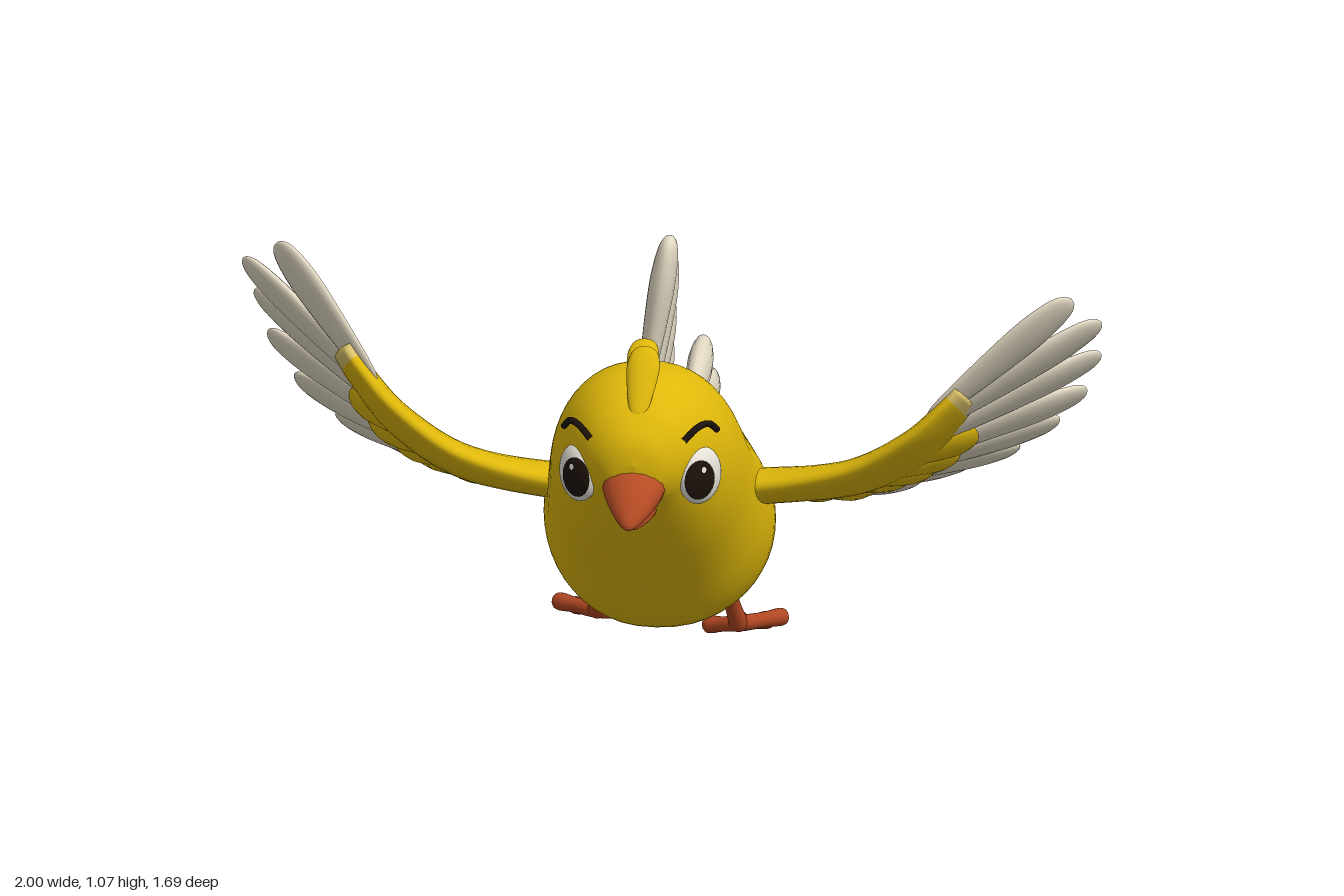
import * as THREE from 'three';

const mat = (name, color) => Object.assign(new THREE.MeshStandardMaterial({ color }), { name });
const V = (a) => new THREE.Vector3(...a);

export function createModel() {
  const yellow = mat('yellow plumage', 0xdfb80a);
  const cream = mat('cream feathers', 0xe3dac4);
  const pale = mat('pale yellow', 0xdcc46c);
  const orange = mat('beak orange', 0xbd4f26);
  const rust = mat('foot rust', 0xb04722);
  const white = mat('eye white', 0xe6e2d8);
  const dark = mat('dark brown', 0x1c120b);

  const root = new THREE.Group();
  root.name = 'bird';
  const add = (parent, name, geo, material) => {
    const m = new THREE.Mesh(geo, material);
    m.name = name;
    parent.add(m);
    return m;
  };
  const group = (name, parent = root) => {
    const g = new THREE.Group();
    g.name = name;
    parent.add(g);
    return g;
  };

  // Skin over closed rings; pick(i, j) gives the material slot of each face
  function loft(rings, pick, slots) {
    const n = rings[0].length, lists = Array.from({ length: slots }, () => []);
    for (let i = 0; i < rings.length - 1; i++) {
      for (let j = 0; j < n; j++) {
        const k = (j + 1) % n, a = i * n + j, b = i * n + k;
        lists[pick(i, j)].push(a, a + n, b, b, a + n, b + n);
      }
    }
    const geo = new THREE.BufferGeometry().setFromPoints(rings.flat());
    geo.setIndex(lists.flat());
    let start = 0;
    lists.forEach((l, s) => { geo.addGroup(start, l.length, s); start += l.length; });
    geo.computeVertexNormals();
    return geo;
  }

  // Round-ended blade or limb between two points
  const outlines = {
    feather: [[0, 0], [0.45, 0.04], [0.72, 0.25], [0.95, 0.55], [1, 0.75], [0.8, 0.91], [0.45, 0.98], [0, 1]],
    limb: [[0, 0], [0.7, 0.03], [0.9, 0.12], [0.85, 0.5], [1, 0.82], [0.8, 0.95], [0, 1]],
    beak: [[0, 0], [0.95, 0.02], [1, 0.15], [0.82, 0.45], [0.5, 0.75], [0.2, 0.95], [0, 1]],
  };
  function blade(parent, name, material, from, to, wide, thick, side, outline = 'feather') {
    const pts = new THREE.SplineCurve(outlines[outline].map((p) => new THREE.Vector2(...p))).getPoints(18);
    pts.forEach((p) => { p.x = Math.max(p.x, 0); });
    const dir = to.clone().sub(from), y = dir.clone().normalize();
    const x = side.clone().addScaledVector(y, -side.dot(y)).normalize();
    const z = new THREE.Vector3().crossVectors(x, y);
    const m = new THREE.Matrix4().makeBasis(x.multiplyScalar(wide), dir, z.multiplyScalar(thick)).setPosition(from);
    return add(parent, name, new THREE.LatheGeometry(pts, 16).applyMatrix4(m), material);
  }

  // Body: stations of z, top, bottom, half width
  const stations = [
    [0.79, 0.6, 0.6, 0], [0.78, 0.65, 0.54, 0.055], [0.755, 0.69, 0.505, 0.095], [0.72, 0.725, 0.475, 0.13],
    [0.66, 0.76, 0.4, 0.172], [0.58, 0.78, 0.31, 0.212], [0.48, 0.77, 0.205, 0.232], [0.38, 0.7, 0.11, 0.248],
    [0.27, 0.61, 0.08, 0.268], [0.15, 0.54, 0.085, 0.255], [0.05, 0.495, 0.14, 0.223], [0, 0.475, 0.175, 0.204],
    [-0.1, 0.453, 0.235, 0.165], [-0.2, 0.445, 0.295, 0.124], [-0.3, 0.45, 0.36, 0.08], [-0.37, 0.457, 0.42, 0.045],
    [-0.39, 0.452, 0.445, 0],
  ];
  const heights = new THREE.CatmullRomCurve3(stations.map((s) => V([s[1], s[2], s[0]])), false, 'catmullrom');
  const widths = new THREE.CatmullRomCurve3(stations.map((s) => V([s[3], 0, s[0]])), false, 'catmullrom');
  const N = 48, R = 80, angle = (j) => (j / N) * Math.PI * 2;
  const bodyRings = [];
  for (let i = 0; i <= R; i++) {
    const h = heights.getPoint(i / R), w = Math.max(widths.getPoint(i / R).x, 0);
    const cx = -0.02 - 0.03 * (h.z + 0.4) / 1.2, cy = (h.x + h.y) / 2, r = (h.x - h.y) / 2;
    bodyRings.push(Array.from({ length: N }, (_, j) => {
      const c = Math.cos(angle(j));
      return V([cx + w * Math.sign(c) * Math.abs(c) ** 0.87, cy + r * Math.sin(angle(j)), h.z]);
    }));
  }
  const bodyGeo = loft(bodyRings, (i, j) => {
    const z = bodyRings[i][0].z, s = Math.sin(angle(j + 0.5));
    if (z <= 0.005 && s < -0.17) return 1; // cream vent
    return z > 0.06 && z < 0.31 && s < -0.87 ? 2 : 0; // pale belly
  }, 3);
  add(root, 'body', bodyGeo, [yellow, cream, pale]);

  // Wings
  const lead = [[0.08, 0.455, 0.41], [0.22, 0.46, 0.425], [0.42, 0.515, 0.47], [0.56, 0.605, 0.51], [0.64, 0.68, 0.515], [0.685, 0.73, 0.505]];
  const trail = [[0.08, 0.4, 0.19], [0.24, 0.405, 0.2], [0.42, 0.41, 0.2], [0.56, 0.47, 0.22], [0.65, 0.565, 0.25], [0.7, 0.665, 0.34]];
  const bases = [[0.61, 0.645, 0.47], [0.59, 0.6, 0.43], [0.57, 0.555, 0.39], [0.545, 0.515, 0.36], [0.51, 0.475, 0.33],
    [0.47, 0.45, 0.31], [0.42, 0.43, 0.3], [0.36, 0.415, 0.29], [0.29, 0.41, 0.28], [0.23, 0.405, 0.27]];
  const leftTips = [[0.94, 0.94, 0.47], [1, 0.86, 0.37], [0.99, 0.75, 0.25], [0.95, 0.64, 0.17], [0.88, 0.55, 0.11],
    [0.78, 0.47, 0.07], [0.66, 0.42, 0.04], [0.54, 0.38, 0.06], [0.42, 0.365, 0.08], [0.3, 0.375, 0.12]];
  const rightTips = [[-0.91, 1.02, 0.43], [-1, 0.95, 0.32], [-0.985, 0.84, 0.2], [-0.96, 0.72, 0.13], [-0.9, 0.6, 0.08],
    [-0.8, 0.5, 0.05], [-0.7, 0.45, 0.03], [-0.58, 0.41, 0.04], [-0.46, 0.39, 0.08], [-0.35, 0.385, 0.12]];
  const same = (p) => V(p);
  // The right wing is raised a little higher
  const raised = ([x, y, z]) => V([-0.07 - x, y + 0.3 * Math.max(x - 0.2, 0) ** 2, z - 0.01]);

  function wing(name, place, tipList) {
    const g = group(name);
    const L = new THREE.CatmullRomCurve3(lead.map(place), false, 'catmullrom');
    const T = new THREE.CatmullRomCurve3(trail.map(place), false, 'catmullrom');
    const steps = 32, rings = [];
    for (let i = 0; i <= steps; i++) {
      const t = i / steps, a = L.getPoint(t), b = T.getPoint(t);
      const mid = a.clone().add(b).multiplyScalar(0.5), chord = a.clone().sub(b).multiplyScalar(0.5);
      const up = chord.clone().cross(L.getTangent(t).add(T.getTangent(t))).normalize();
      const thick = i === steps ? 0 : 0.046 - 0.018 * t;
      if (i === steps) chord.multiplyScalar(0);
      rings.push(Array.from({ length: 24 }, (_, j) => mid.clone()
        .addScaledVector(chord, Math.cos(j * Math.PI / 12)).addScaledVector(up, thick * Math.sin(j * Math.PI / 12))));
    }
    add(g, 'wingArm', loft(rings, (i) => (i >= 28 ? 1 : 0), 2), [yellow, pale]);
    const tips = tipList.map(V);
    tips.forEach((tip, i) => {
      const base = place(bases[i]);
      const side = tips[Math.min(i + 1, 9)].clone().sub(tips[Math.max(i - 1, 0)]);
      blade(g, 'flightFeather', cream, base, tip, 0.055, 0.019, side);
      // Short yellow feathers wrap the roots
      if (i > 2) blade(g, 'covert', yellow, base, base.clone().lerp(tip, i < 6 ? 0.4 : 0.47), 0.057, 0.026, side);
    });
  }
  wing('leftWing', same, leftTips);
  wing('rightWing', raised, rightTips);

  // Upright feather fan on the back, and the tail
  const zAxis = V([0, 0, 1]), xAxis = V([1, 0, 0]), yAxis = V([0, 1, 0]);
  const fan = group('backFan');
  [[[-0.06, 0.66, 0.46], [0.008, 1.07, 0.472]], [[-0.055, 0.62, 0.41], [0, 1, 0.365]],
    [[-0.05, 0.59, 0.35], [-0.015, 0.88, 0.29]], [[-0.045, 0.56, 0.29], [-0.03, 0.77, 0.22]]]
    .forEach(([a, b]) => blade(fan, 'backFeather', cream, V(a), V(b), 0.05, 0.03, zAxis));
  const tail = group('tail');
  [[[-0.02, 0.43, -0.29], [-0.025, 0.475, -0.755]], [[-0.015, 0.415, -0.29], [-0.015, 0.365, -0.845]],
    [[-0.005, 0.4, -0.29], [0.025, 0.26, -0.81]]]
    .forEach(([a, b]) => blade(tail, 'tailFeather', cream, V(a), V(b), 0.052, 0.029, yAxis));

  // Crest
  const crest = group('crest');
  blade(crest, 'crestFeather', yellow, V([-0.045, 0.7, 0.735]), V([-0.035, 0.845, 0.63]), 0.038, 0.018, xAxis);
  blade(crest, 'crestFeather', yellow, V([-0.05, 0.75, 0.69]), V([-0.045, 0.832, 0.525]), 0.036, 0.016, xAxis);

  // Beak
  const beak = group('beak');
  blade(beak, 'upperBeak', orange, V([-0.05, 0.56, 0.727]), V([-0.057, 0.462, 0.848]), 0.076, 0.058, xAxis, 'beak');
  blade(beak, 'lowerBeak', orange, V([-0.05, 0.485, 0.7]), V([-0.052, 0.443, 0.77]), 0.05, 0.03, xAxis, 'beak');

  // Eyes and brows
  for (const s of [1, -1]) {
    const eye = group(s > 0 ? 'leftEye' : 'rightEye');
    eye.position.set(-0.045 + s * 0.141, 0.555, 0.687);
    eye.rotation.y = s * 0.9;
    eye.scale.set(0.063, 0.068, 0.034);
    add(eye, 'eyeball', new THREE.SphereGeometry(1, 28, 20), white);
    const cap = (name, r, size, dir, m) => add(eye, name,
      new THREE.SphereGeometry(r, 24, 8, 0, Math.PI * 2, 0, size), m)
      .quaternion.setFromUnitVectors(yAxis, V(dir).normalize());
    cap('pupil', 1.04, 0.74, [s * -0.5, -0.06, 0.86], dark);
    cap('glint', 1.08, 0.1, [s * -0.3, 0.3, 0.9], white);
    const path = new THREE.CatmullRomCurve3([[0.108, 0.648, 0.737], [0.138, 0.675, 0.712], [0.161, 0.677, 0.68], [0.178, 0.655, 0.65]]
      .map(([x, y, z]) => V([-0.045 + s * x, y, z])));
    add(root, 'brow', new THREE.TubeGeometry(path, 16, 0.008, 8), dark);
  }

  // Legs, the right one set further back
  for (const right of [false, true]) {
    const g = group(right ? 'rightLeg' : 'leftLeg');
    const at = ([x, y, z]) => (right ? V([-0.07 - x, y, z - 0.09]) : V([x, y, z]));
    const ankle = [0.135, 0.045, 0.115];
    blade(g, 'shank', rust, at([0.11, 0.16, 0.19]), at([0.137, 0.03, 0.105]), 0.022, 0.022, xAxis, 'limb');
    [[0.24, 0.045, 0.035], [0.2, 0.026, 0], [0.125, 0.022, -0.012], [0.05, 0.026, 0.06]]
      .forEach((toe) => blade(g, 'toe', rust, at(ankle), at(toe), 0.021, 0.021, yAxis, 'limb'));
  }
  return root;
}
